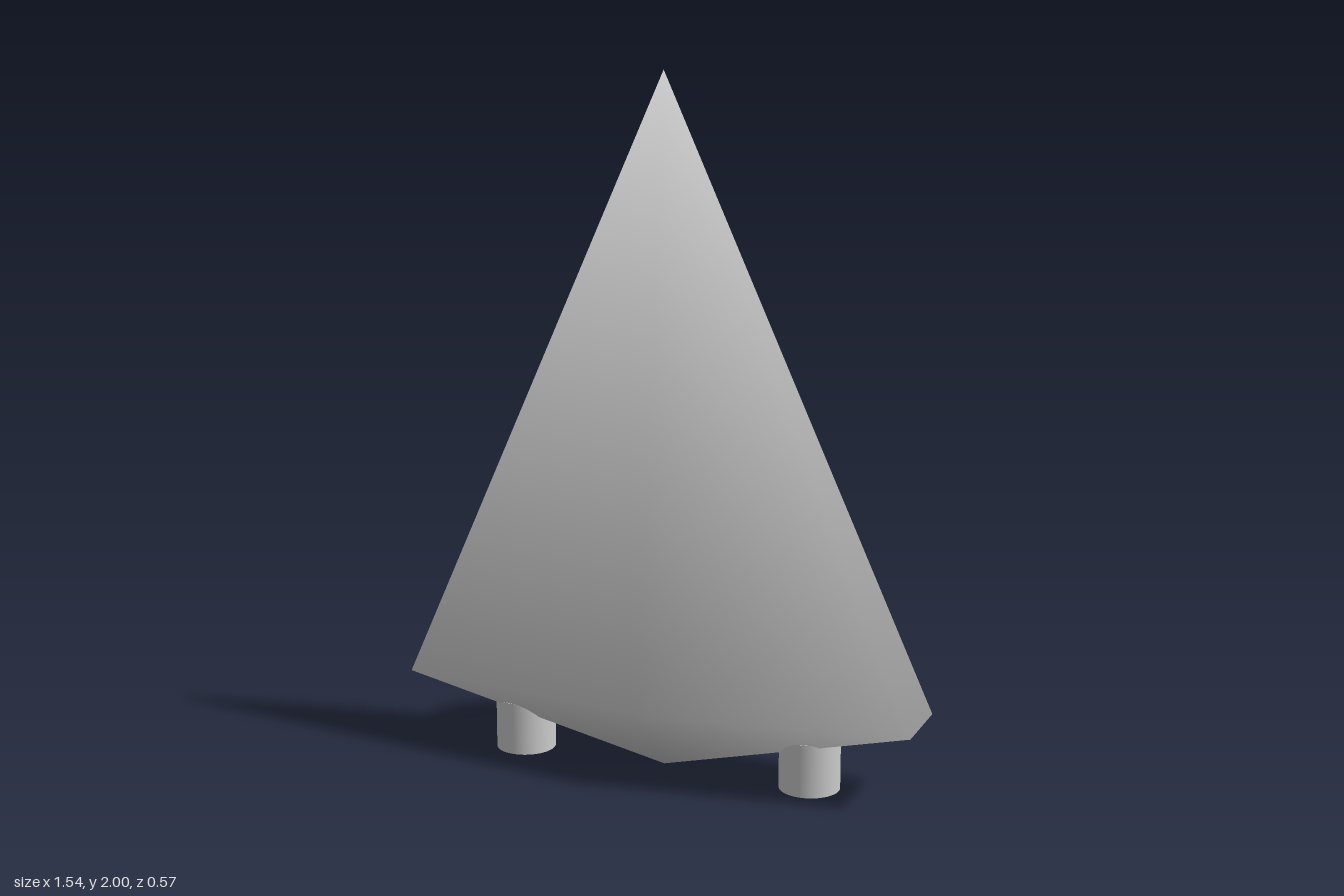
import * as THREE from 'three';

const material = new THREE.MeshStandardMaterial({ color: 0xcccccc });
const midZ = 0.066;

// Flattened six-sided double pyramid with shared, smooth normals
function hullGeometry() {
  const points = [0, 2, midZ, 0, 0.005, midZ];
  const faces = [];
  const sides = 6;
  for (let i = 0; i < sides; i++) {
    const angle = (i / sides) * Math.PI * 2;
    points.push(0.887 * Math.sin(angle), 0.225, midZ + 0.219 * Math.cos(angle));
    const a = 2 + i;
    const b = 2 + ((i + 1) % sides);
    faces.push(0, a, b, 1, b, a);
  }
  const geometry = new THREE.BufferGeometry();
  geometry.setAttribute('position', new THREE.Float32BufferAttribute(points, 3));
  geometry.setIndex(faces);
  geometry.computeVertexNormals();
  return geometry;
}

export function createModel() {
  const group = new THREE.Group();
  const add = (name, geometry, x, y, z) => {
    const mesh = new THREE.Mesh(geometry, material);
    mesh.name = name;
    mesh.position.set(x, y, z);
    group.add(mesh);
  };

  add('body', hullGeometry(), 0, 0, 0);

  // Round bulge on the back
  add('backDome', new THREE.SphereGeometry(0.219, 48, 32), 0, 0.672, -0.07);

  // Stubby feet, sunk into the underside
  for (const side of [-1, 1]) {
    add(side > 0 ? 'leftFoot' : 'rightFoot',
      new THREE.CylinderGeometry(0.0875, 0.0875, 0.155, 32), side * 0.445, 0.0775, midZ);
  }
  return group;
}
